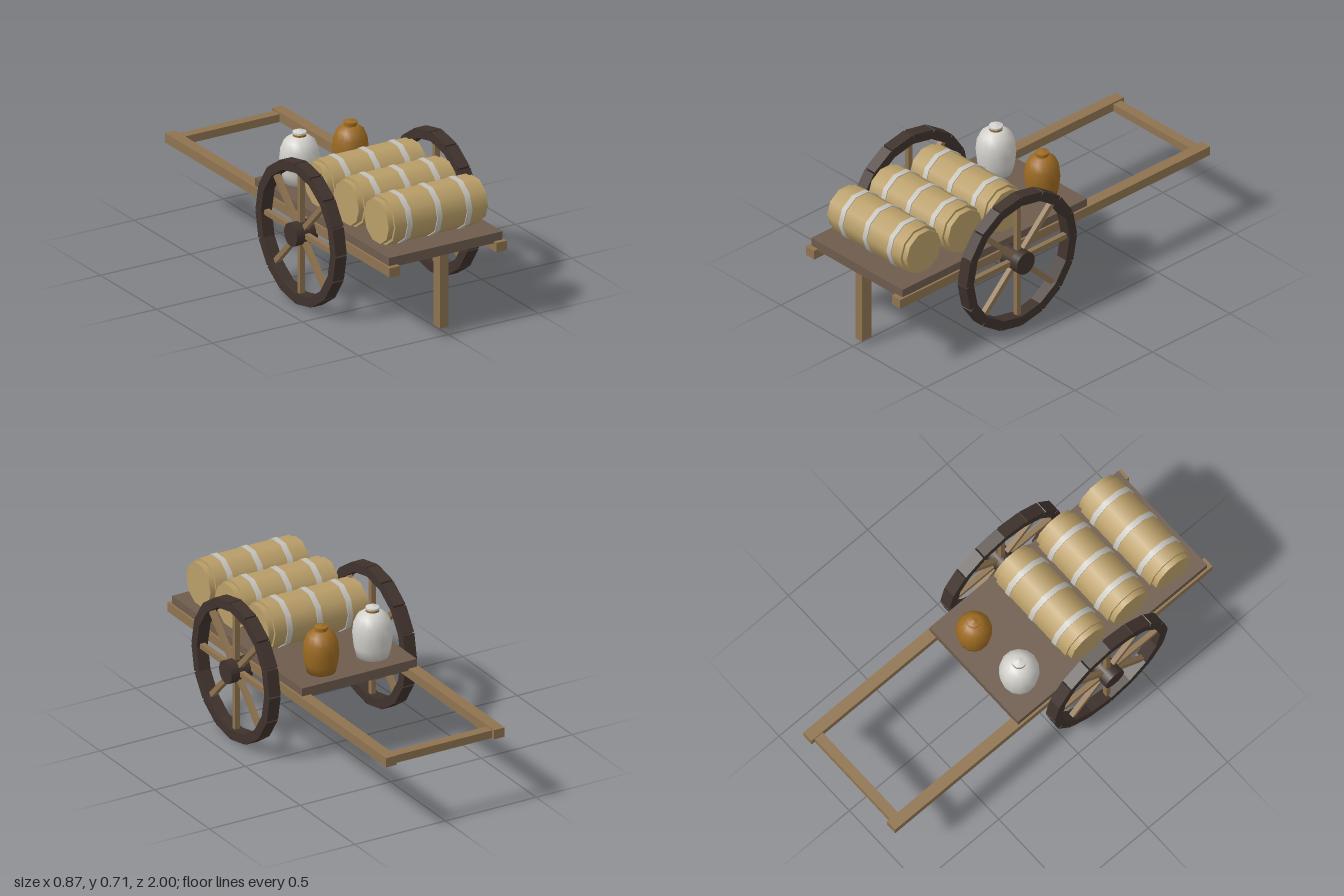
import * as THREE from 'three';

const mat = (name, color) => {
  const m = new THREE.MeshStandardMaterial({ color });
  m.name = name;
  return m;
};

export function createModel() {
  const cart = new THREE.Group();
  cart.name = 'handcart';

  const wood = mat('frame wood', 0x8f7350);
  const plank = mat('bed wood', 0x6e5c4d);
  const dark = mat('dark wood', 0x3f322c);
  const barrelWood = mat('barrel wood', 0xb99e68);
  const metal = mat('hoop metal', 0xc6c3bc);
  const cream = mat('white glaze', 0xd2d0cb);
  const amber = mat('amber glaze', 0x9c6a22);

  const add = (parent, name, geo, material, x = 0, y = 0, z = 0) => {
    const mesh = new THREE.Mesh(geo, material);
    mesh.name = name;
    mesh.position.set(x, y, z);
    parent.add(mesh);
    return mesh;
  };
  const group = (name, x, y, z) => {
    const g = new THREE.Group();
    g.name = name;
    g.position.set(x, y, z);
    cart.add(g);
    return g;
  };
  const box = (w, h, d) => new THREE.BoxGeometry(w, h, d);
  // cylinder lying along x
  const xCylinder = (r, length, sides) =>
    new THREE.CylinderGeometry(r, r, length, sides).rotateZ(Math.PI / 2);

  // Bed, shafts, handle and prop leg
  add(cart, 'bed', box(0.632, 0.05, 1.19), plank, 0, 0.425, 0.38);
  for (const side of [-1, 1]) {
    add(cart, side > 0 ? 'leftShaft' : 'rightShaft', box(0.058, 0.048, 2), wood, side * 0.298, 0.385, 0);
  }
  add(cart, 'handleBar', box(0.54, 0.04, 0.05), wood, 0, 0.38, -0.955);
  add(cart, 'propLeg', box(0.045, 0.39, 0.062), wood, 0, 0.217, 0.932);

  // Axle and wheels
  const wheelY = 0.358, wheelZ = 0.29;
  add(cart, 'axle', xCylinder(0.024, 0.7, 12), dark, 0, wheelY, wheelZ);
  for (const side of [-1, 1]) {
    const wheel = group(side > 0 ? 'leftWheel' : 'rightWheel', side * 0.376, wheelY, wheelZ);
    add(wheel, 'hub', xCylinder(0.058, 0.118, 16), dark);
    for (let i = 0; i < 16; i++) {
      const felloe = box(0.062, 0.048, 0.131).translate(0, 0.327, 0);
      add(wheel, 'rimSegment', felloe, dark).rotation.x = (i + 0.5) * Math.PI / 8;
    }
    for (let i = 0; i < 8; i++) {
      const spoke = box(0.026, 0.27, 0.026).translate(0, 0.175, 0);
      add(wheel, 'spoke', spoke, wood).rotation.x = i * Math.PI / 4;
    }
  }

  // Three ten-sided barrels lying across the bed
  for (const z of [0.8, 0.533, 0.266]) {
    const barrel = group('barrel', 0, 0.57, z);
    add(barrel, 'barrelBody', xCylinder(0.123, 0.494, 10), barrelWood);
    add(barrel, 'barrelEnds', xCylinder(0.111, 0.552, 10), barrelWood);
    for (const x of [-0.166, 0, 0.166]) {
      add(barrel, 'hoop', xCylinder(0.1275, 0.028, 10), metal, x);
    }
  }

  // Jugs standing behind the barrels
  const lathe = (points) =>
    new THREE.LatheGeometry(points.map(([r, y]) => new THREE.Vector2(r, y)), 14);
  const jugBody = [[0, 0], [0.07, 0], [0.081, 0.05], [0.087, 0.11], [0.082, 0.16],
    [0.066, 0.198], [0.042, 0.217], [0.03, 0.22]];
  const makeJug = (name, x, z, s, h, body, lid) => {
    const jug = group(name, x, 0.449, z);
    add(jug, 'jugBody', lathe(jugBody.map(([r, y]) => [r * s, y * h])), body);
    const top = 0.22 * h;
    add(jug, 'jugNeck', new THREE.CylinderGeometry(0.03, 0.03, 0.022, 14), amber, 0, top + 0.006, 0);
    add(jug, 'jugLid', new THREE.CylinderGeometry(0.034, 0.034, 0.01, 14), lid, 0, top + 0.015, 0);
    add(jug, 'jugLidTop', new THREE.ConeGeometry(0.034, 0.01, 14), lid, 0, top + 0.025, 0);
  };
  makeJug('amberJug', 0.138, -0.092, 1, 0.97, amber, amber);
  makeJug('whiteJug', -0.159, -0.07, 1.12, 1.06, cream, cream);

  return cart;
}
